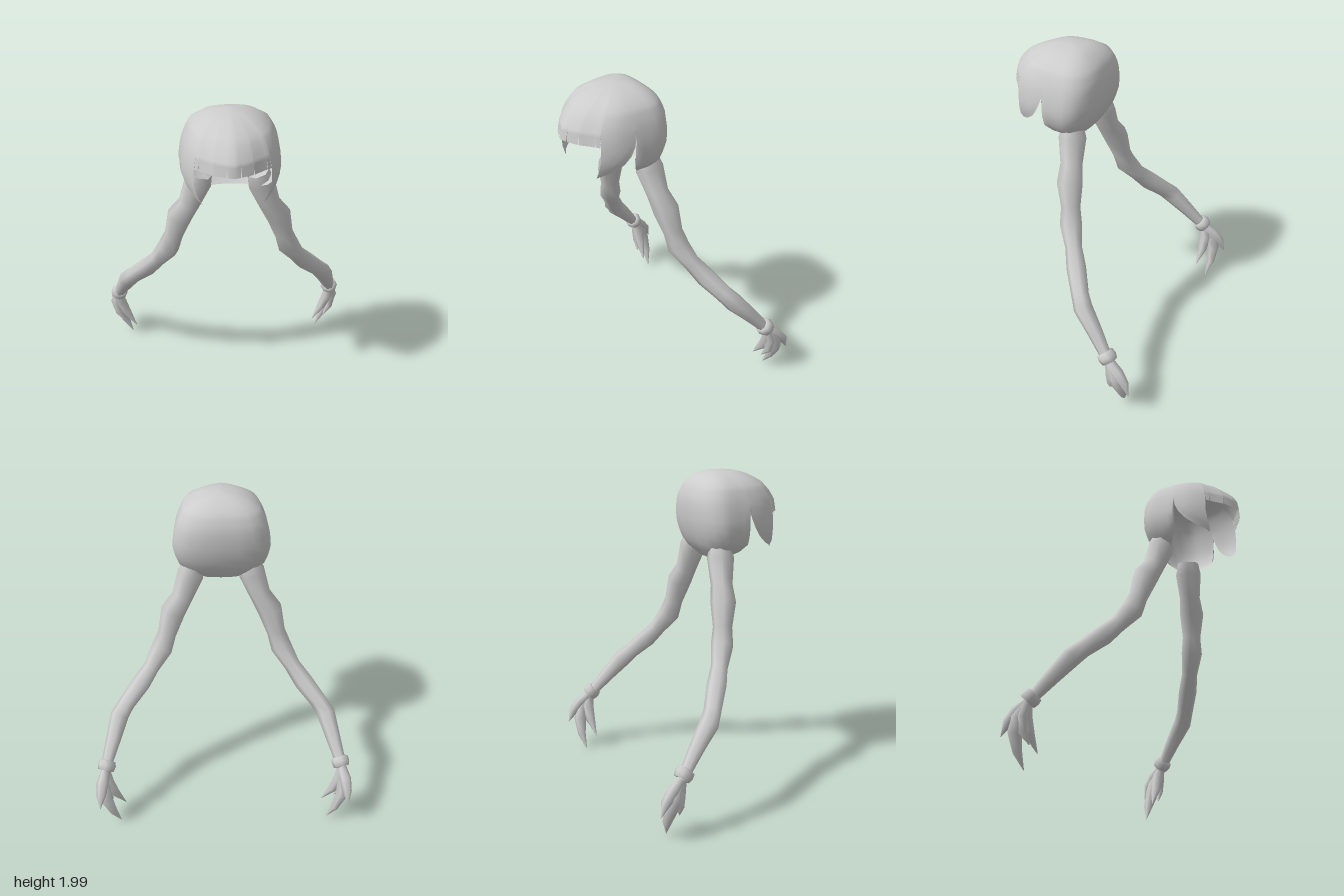
import * as THREE from 'three';
import { mergeVertices } from 'three/addons/utils/BufferGeometryUtils.js';

const hairGrey = new THREE.MeshStandardMaterial({ color: 0xcccccc, side: THREE.DoubleSide });
hairGrey.name = 'hairGrey';

function makeGeometry(positions, indices) {
  let g = new THREE.BufferGeometry();
  g.setAttribute('position', new THREE.Float32BufferAttribute(positions, 3));
  g.setIndex(indices);
  g = mergeVertices(g, 1e-4);
  g.computeVertexNormals();
  return g;
}

function addMesh(parent, geometry, name) {
  const m = new THREE.Mesh(geometry, hairGrey);
  m.name = name;
  parent.add(m);
  return m;
}

// Loft of round sections: each station is [x, y, z, radius]
function loft(stations, sides, mirror) {
  const pts = stations.map(([x, y, z]) => new THREE.Vector3(x * mirror, y, z));
  const positions = [], indices = [];
  pts.forEach((p, i) => {
    const dir = pts[Math.min(i + 1, pts.length - 1)].clone().sub(pts[Math.max(i - 1, 0)]).normalize();
    const side = new THREE.Vector3(1, 0, 0).addScaledVector(dir, -dir.x).normalize();
    const up = dir.clone().cross(side);
    for (let k = 0; k < sides; k++) {
      const a = (k / sides) * Math.PI * 2, r = stations[i][3];
      const v = p.clone().addScaledVector(side, Math.cos(a) * r).addScaledVector(up, Math.sin(a) * r);
      positions.push(v.x, v.y, v.z);
      if (i === 0) continue;
      const k2 = (k + 1) % sides, lo = (i - 1) * sides, hi = i * sides;
      indices.push(lo + k, lo + k2, hi + k, lo + k2, hi + k2, hi + k);
    }
  });
  return makeGeometry(positions, indices);
}

// Head outline seen from above, from front centre round to back centre (unit size)
const outline = new THREE.CatmullRomCurve3([
  [0, 1], [0.37, 0.89], [0.58, 0.77], [0.75, 0.68], [0.92, 0.46],
  [0.99, 0.2], [1, 0], [0.98, -0.5], [0.65, -0.9], [0, -1],
].map(([x, z]) => new THREE.Vector3(x, 0, z)));

// Size by height: [y, half width, front z, back z]
const profile = [
  [2.0, 0, 0.2, 0.2], [1.994, 0.07, 0.29, 0.13], [1.97, 0.15, 0.38, 0.07],
  [1.92, 0.225, 0.48, 0.01], [1.87, 0.255, 0.535, -0.015], [1.81, 0.277, 0.575, -0.03],
  [1.74, 0.291, 0.587, -0.03], [1.66, 0.296, 0.59, -0.02], [1.58, 0.272, 0.6, 0.005],
  [1.53, 0.237, 0.605, 0.03], [1.47, 0.14, 0.5, 0.09],
];

function capPoint(p, y) {
  let i = 1;
  while (i < profile.length - 1 && y < profile[i][0]) i++;
  const a = profile[i - 1], b = profile[i];
  const t = (a[0] - y) / (a[0] - b[0]);
  const [w, zf, zb] = [1, 2, 3].map((k) => a[k] + (b[k] - a[k]) * t);
  const o = outline.getPoint(p / 9);
  const mid = y > 1.81 ? 0.17 + 0.03 * (y - 1.81) / 0.19 : 0.17;
  return [o.x * w, y, mid + (o.z > 0 ? o.z * (zf - mid) : o.z * (mid - zb))];
}

// Lower edge of each hair piece: [place along the outline, y]
const fringe = [
  [0, 1.74], [0.33, 1.74], [0.36, 1.8], [0.39, 1.74], [0.72, 1.74], [1.06, 1.74], [1.09, 1.8],
  [1.12, 1.74], [1.6, 1.74], [2.1, 1.74], [2.47, 1.74], [2.5, 1.8], [2.53, 1.74], [2.92, 1.74], [2.96, 1.81],
];
const sideLock = [
  [2.96, 1.525], [3.3, 1.545], [3.7, 1.565], [4, 1.59], [4.3, 1.62], [4.6, 1.67], [4.8, 1.72], [4.9, 1.76],
];
const backHair = [
  [4.9, 1.76], [4.98, 1.57], [5.4, 1.52], [6, 1.485], [6.5, 1.48], [7, 1.47],
  [7.5, 1.47], [8, 1.47], [8.5, 1.47], [9, 1.47],
];

function capGeometry() {
  const positions = [], indices = [], upper = 9, rows = 17, joinY = 1.82;
  for (const mirror of [1, -1]) for (const piece of [fringe, sideLock, backHair]) {
    piece.forEach(([p, bottom], c) => {
      const base = positions.length / 3;
      for (let r = 0; r < rows; r++) {
        const y = r <= upper
          ? 2 - (2 - joinY) * (r / upper) ** 2
          : joinY + (bottom - joinY) * (r - upper) / (rows - 1 - upper);
        const [x, py, z] = capPoint(p, y);
        positions.push(x * mirror, py, z);
        if (c === 0 || r === 0) continue;
        const b = base + r - 1, d = base + r, a = b - rows, e = d - rows;
        if (mirror > 0) indices.push(a, e, b, b, e, d);
        else indices.push(a, b, e, b, d, e);
      }
    });
  }
  return makeGeometry(positions, indices);
}

// Long uneven braid, then the tufts at its end
const braid = [
  [0.17, 1.56, 0.12, 0.07], [0.19, 1.49, 0.11, 0.085], [0.245, 1.34, 0.09, 0.068], [0.305, 1.245, 0.07, 0.08],
  [0.345, 1.1, 0.045, 0.06], [0.38, 1.0, 0.025, 0.07], [0.45, 0.89, -0.03, 0.053],
  [0.52, 0.8, -0.085, 0.062], [0.615, 0.695, -0.16, 0.055], [0.66, 0.635, -0.205, 0.06],
  [0.7, 0.52, -0.305, 0.048], [0.737, 0.415, -0.39, 0.037], [0.75, 0.37, -0.43, 0.035],
];
const tufts = [
  [[0.75, 0.37, -0.43, 0.03], [0.768, 0.28, -0.475, 0.045], [0.755, 0.2, -0.5, 0.042], [0.715, 0.1, -0.505, 0.027], [0.668, 0.006, -0.49, 0.002]],
  [[0.75, 0.37, -0.43, 0.03], [0.768, 0.32, -0.49, 0.038], [0.778, 0.26, -0.54, 0.03], [0.786, 0.18, -0.575, 0.002]],
  [[0.75, 0.37, -0.43, 0.03], [0.74, 0.29, -0.445, 0.04], [0.7, 0.2, -0.44, 0.03], [0.636, 0.1, -0.425, 0.002]],
  [[0.75, 0.37, -0.43, 0.03], [0.765, 0.28, -0.45, 0.035], [0.755, 0.2, -0.445, 0.027], [0.715, 0.13, -0.425, 0.002]],
];
const tie = [
  [0.737, 0.42, -0.388, 0.034], [0.738, 0.418, -0.39, 0.052], [0.743, 0.397, -0.41, 0.058],
  [0.749, 0.374, -0.43, 0.05], [0.75, 0.372, -0.432, 0.03],
];

export function createModel() {
  const model = new THREE.Group();
  model.name = 'hairWithBraids';
  addMesh(model, capGeometry(), 'hairCap');
  for (const [side, mirror] of [['left', 1], ['right', -1]]) {
    const tail = new THREE.Group();
    tail.name = side + 'Tail';
    addMesh(tail, loft(braid, 7, mirror), side + 'Braid');
    addMesh(tail, loft(tie, 8, mirror), side + 'HairTie');
    tufts.forEach((t, i) => addMesh(tail, loft(t, 6, mirror), side + 'Tuft' + (i + 1)));
    model.add(tail);
  }
  return model;
}
